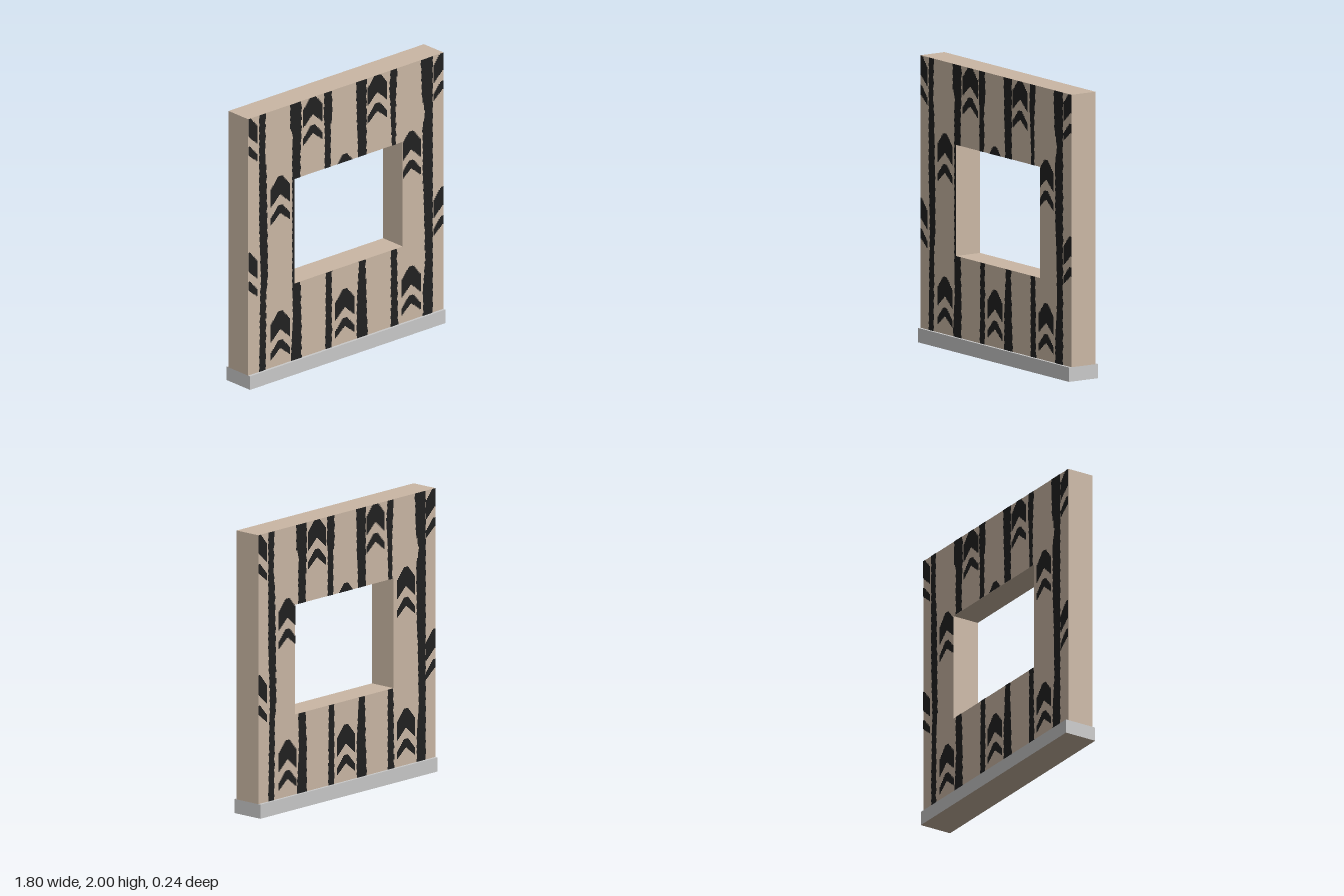
import * as THREE from 'three';

const beige = new THREE.MeshStandardMaterial({ color: 0xcbb8a5 });
beige.name = 'beige plaster';
const black = new THREE.MeshStandardMaterial({ color: 0x212121 });
black.name = 'black print';
const grey = new THREE.MeshStandardMaterial({ color: 0xcacaca });
grey.name = 'grey skirting';

const HALF = 0.9, BASE = 0.1, TOP = 2, DEPTH = 0.2;
const HOLE = { x0: -0.475, x1: 0.525, y0: 0.665, y1: 1.44 };

// Wobbly stripes: rows of [height, left edge, right edge]
const STRIPES = [
  [[0.1, -0.8, -0.74], [0.65, -0.79, -0.735], [0.8, -0.785, -0.72], [1.2, -0.8, -0.725], [1.6, -0.8, -0.735], [1.7, -0.8, -0.745], [2, -0.8, -0.74]],
  [[0.1, -0.51, -0.41], [0.4, -0.49, -0.41], [0.66, -0.495, -0.42], [1.2, -0.495, -0.42], [1.6, -0.495, -0.42], [1.78, -0.49, -0.41], [1.82, -0.515, -0.41], [2, -0.515, -0.41]],
  [[0.1, -0.19, -0.13], [0.66, -0.185, -0.13], [1.44, -0.195, -0.14], [1.75, -0.195, -0.14], [1.82, -0.205, -0.125], [2, -0.2, -0.13]],
  [[0.1, 0.1, 0.2], [0.35, 0.1, 0.19], [0.66, 0.12, 0.18], [1.5, 0.11, 0.19], [1.75, 0.1, 0.19], [2, 0.095, 0.19]],
  [[0.1, 0.415, 0.48], [0.66, 0.415, 0.47], [1.5, 0.42, 0.46], [1.75, 0.41, 0.46], [1.85, 0.4, 0.465], [2, 0.41, 0.475]],
  [[0.1, 0.71, 0.8], [0.3, 0.71, 0.8], [0.5, 0.73, 0.8], [0.9, 0.72, 0.8], [1.1, 0.71, 0.8], [1.5, 0.705, 0.8], [1.6, 0.73, 0.8], [1.72, 0.7, 0.8], [2, 0.69, 0.8]],
];

// Linear look-up of a stripe's edges at height y
function edgesAt(rows, y) {
  let i = 0;
  while (i < rows.length - 2 && rows[i + 1][0] < y) i++;
  const [a, b] = [rows[i], rows[i + 1]];
  const t = (y - a[0]) / (b[0] - a[0]);
  return [a[1] + (b[1] - a[1]) * t, a[2] + (b[2] - a[2]) * t];
}

// Printed pattern as one flat face, cut around the window
function makePattern(hole) {
  const pos = [], nor = [];
  const quad = (x0, x1, y0, y1) => {
    if (x1 - x0 < 1e-5 || y1 - y0 < 1e-5) return;
    pos.push(x0, y0, 0, x1, y0, 0, x1, y1, 0, x0, y0, 0, x1, y1, 0, x0, y1, 0);
    for (let i = 0; i < 6; i++) nor.push(0, 0, 1);
  };
  const rect = (x0, x1, y0, y1) => {
    x0 = Math.max(x0, -HALF); x1 = Math.min(x1, HALF);
    y0 = Math.max(y0, BASE); y1 = Math.min(y1, TOP);
    if (x0 >= x1 || y0 >= y1) return;
    if (x1 <= hole.x0 || x0 >= hole.x1 || y1 <= hole.y0 || y0 >= hole.y1) return quad(x0, x1, y0, y1);
    quad(x0, Math.min(x1, hole.x0), y0, y1);
    quad(Math.max(x0, hole.x1), x1, y0, y1);
    const m0 = Math.max(x0, hole.x0), m1 = Math.min(x1, hole.x1);
    quad(m0, m1, y0, hole.y0);
    quad(m0, m1, hole.y1, y1);
  };

  // Stripes in short rows with slightly ragged edges
  const step = 0.02;
  STRIPES.forEach((rows, s) => {
    for (let k = 0; k < 95; k++) {
      const y = BASE + k * step;
      const [l, r] = edgesAt(rows, y + step / 2);
      rect(l + 0.003 * Math.sin(k * 2.3 + s), r + 0.004 * Math.sin(k * 1.7 + s * 2), y, y + step);
    }
  });

  // Chevron pairs in thin columns, stepped like a coarse print
  const w = 0.01;
  const chevron = (cx, apex) => {
    for (let i = -9; i < 9; i++) {
      const d = Math.abs(i + 0.5) * w;
      const x = cx + i * w;
      const shoulder = Math.max(0, d - 0.02);
      rect(x, x + w, apex - 0.135 - d * 0.9, apex - shoulder * 1.2);
      rect(x, x + w, apex - 0.275 - d * 0.8, apex - 0.215 - shoulder * 1.15);
    }
  };
  for (const x of [-0.605, -0.01, 0.6]) for (const y of [0.5, 1.5]) chevron(x, y);
  for (const x of [-0.905, -0.305, 0.29, 0.895]) for (const y of [1.01, 2.01]) chevron(x, y);

  const geo = new THREE.BufferGeometry();
  geo.setAttribute('position', new THREE.Float32BufferAttribute(pos, 3));
  geo.setAttribute('normal', new THREE.Float32BufferAttribute(nor, 3));
  return geo;
}

function rectanglePath(path, x0, x1, y0, y1) {
  path.moveTo(x0, y0).lineTo(x1, y0).lineTo(x1, y1).lineTo(x0, y1).closePath();
  return path;
}

export function createModel() {
  const model = new THREE.Group();
  model.name = 'windowWall';

  // Wall slab with a window opening
  const shape = rectanglePath(new THREE.Shape(), -HALF, HALF, BASE, TOP);
  shape.holes.push(rectanglePath(new THREE.Path(), HOLE.x0, HOLE.x1, HOLE.y0, HOLE.y1));
  const wallGeo = new THREE.ExtrudeGeometry(shape, { depth: DEPTH, bevelEnabled: false });
  wallGeo.translate(0, 0, -DEPTH / 2);
  const wall = new THREE.Mesh(wallGeo, beige);
  wall.name = 'wall';
  model.add(wall);

  // Skirting, with a beige underside
  const skirting = new THREE.Mesh(
    new THREE.BoxGeometry(HALF * 2, BASE, 0.24),
    [grey, grey, grey, beige, grey, grey],
  );
  skirting.position.y = BASE / 2;
  skirting.name = 'skirting';
  model.add(skirting);

  // Printed pattern on both faces; the back is turned half round
  const front = new THREE.Mesh(makePattern(HOLE), black);
  front.position.z = DEPTH / 2 + 0.002;
  front.name = 'frontPattern';
  const back = new THREE.Mesh(makePattern({ ...HOLE, x0: -HOLE.x1, x1: -HOLE.x0 }), black);
  back.position.z = -DEPTH / 2 - 0.002;
  back.rotation.y = Math.PI;
  back.name = 'backPattern';
  model.add(front, back);

  return model;
}
